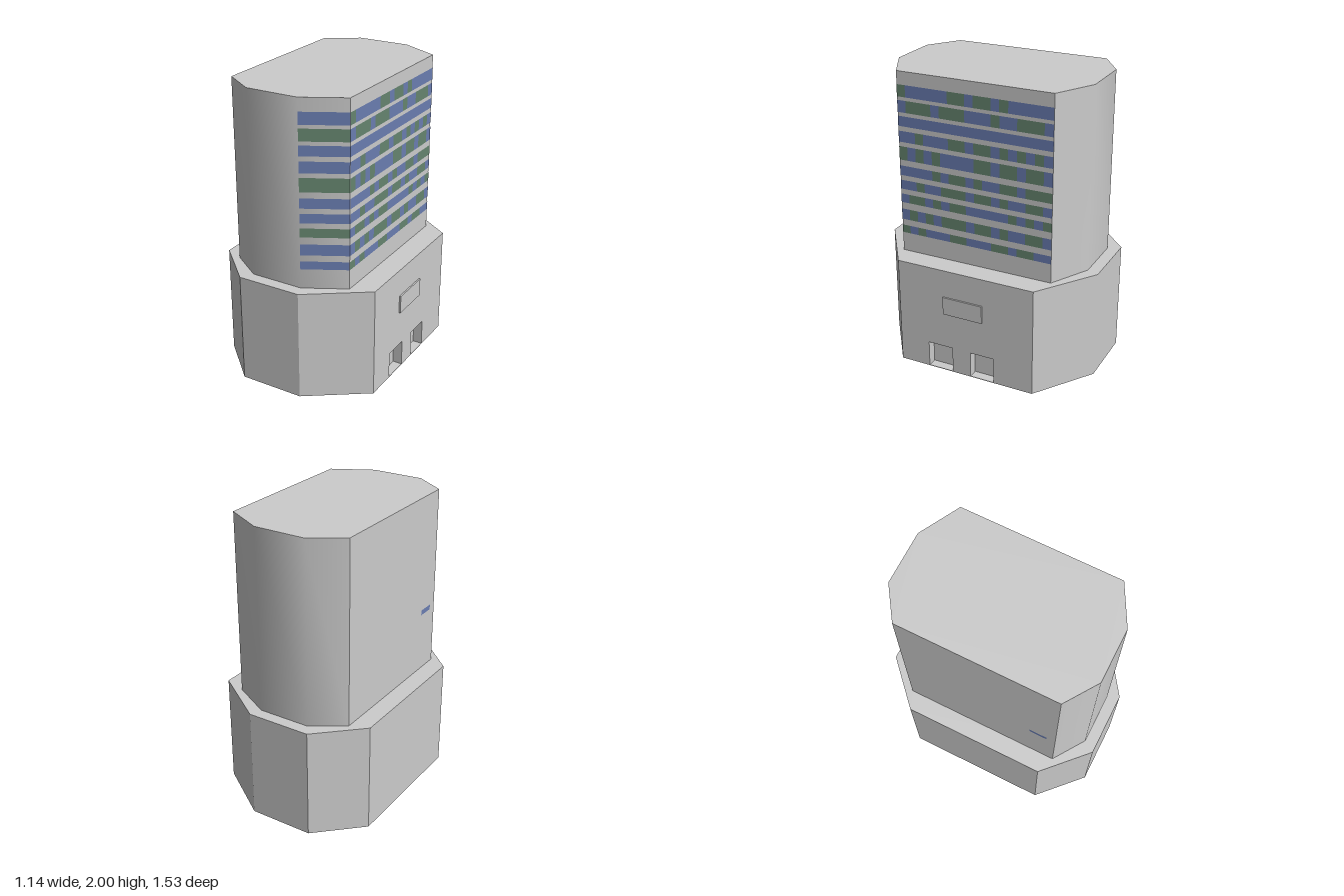
import * as THREE from 'three';
import { toCreasedNormals } from 'three/addons/utils/BufferGeometryUtils.js';

const mat = (color) => new THREE.MeshStandardMaterial({ color });
const grey = mat(0xcccccc);
const glass = { B: mat(0x6a7db1), G: mat(0x66856f) };

// Footprint corners as [x, z], counter-clockwise seen from above
const BASE = [[0.555, 0.49], [0.555, -0.49], [0.16, -0.765], [-0.28, -0.765],
  [-0.57, -0.49], [-0.57, 0.49], [-0.28, 0.765], [0.16, 0.765]];
const TOWER = [[0.4, 0.54], [0.4, -0.54], [0.13, -0.685], [-0.23, -0.685],
  [-0.445, -0.54], [-0.445, 0.54], [-0.23, 0.685], [0.13, 0.685]];

// Door recesses in the base, as [z near front, z near back]
const DOORS = [[0.275, 0.095], [-0.04, -0.21]];
const DOOR_H = 0.185, DOOR_DEPTH = 0.065, FLOOR = 0.004, BASE_H = 0.755;

// Window rows: bottom, top, colour on the chamfer, colours of 18 panes along the side
const ROWS = [
  [1.833, 1.913, 'B', 'GBBBBBGGBGGBGBBBBB'],
  [1.73, 1.81, 'G', 'BGGGBGGGBBBGBBGGGB'],
  [1.637, 1.705, 'B', 'BBBBBBBBBBBBBBBBBB'],
  [1.53, 1.605, 'B', 'BBGBBBGGBGGBGBGBGB'],
  [1.407, 1.5, 'G', 'GBGBGBBBBGGBGGBGGB'],
  [1.3, 1.367, 'B', 'BBBBGBGGBGBBGGBGGG'],
  [1.203, 1.266, 'B', 'BBGBBGGGBGGBGBBGGB'],
  [1.107, 1.168, 'G', 'BGGBGBGGBBBBBGBGBG'],
  [0.985, 1.06, 'B', 'BGBGBGGGBGGBGBBGGB'],
  [0.888, 0.943, 'B', 'GBGBBBGGBBBGGBGGBB'],
];

function prism(points, y0, y1) {
  const shape = new THREE.Shape(points.map(([x, z]) => new THREE.Vector2(x, -z)));
  const geo = new THREE.ExtrudeGeometry(shape, { depth: y1 - y0, bevelEnabled: false });
  return geo.rotateX(-Math.PI / 2).translate(0, y0, 0);
}

// Thin pane standing on the wall that runs from corner a to corner b, facing out
function pane(a, b, y0, y1, material, name) {
  const dx = b[0] - a[0], dz = b[1] - a[1], len = Math.hypot(dx, dz);
  const mesh = new THREE.Mesh(new THREE.PlaneGeometry(len, y1 - y0), material);
  const nx = -dz / len, nz = dx / len, gap = 0.002;
  mesh.position.set((a[0] + b[0]) / 2 + nx * gap, (y0 + y1) / 2, (a[1] + b[1]) / 2 + nz * gap);
  mesh.rotation.y = Math.atan2(nx, nz);
  mesh.name = name;
  return mesh;
}

export function createModel() {
  const model = new THREE.Group();
  model.name = 'building';
  const add = (geo, name, parent = model) => {
    const mesh = new THREE.Mesh(geo, grey);
    mesh.name = name;
    parent.add(mesh);
    return mesh;
  };

  // Base: floor slab, ground storey with door recesses, solid upper part
  const base = new THREE.Group();
  base.name = 'base';
  model.add(base);
  const notched = [BASE[0]];
  const face = BASE[0][0], inner = face - DOOR_DEPTH;
  for (const [z0, z1] of DOORS) notched.push([face, z0], [inner, z0], [inner, z1], [face, z1]);
  notched.push(...BASE.slice(1));
  add(prism(BASE, 0, FLOOR), 'floorSlab', base);
  add(prism(notched, FLOOR, DOOR_H), 'groundStorey', base);
  add(prism(BASE, DOOR_H, BASE_H), 'upperBase', base);

  // Blank sign panel above the doors
  const sign = add(new THREE.BoxGeometry(0.02, 0.125, 0.285), 'signPanel');
  sign.position.set(0.556, 0.5, 0.0125);

  // Tower: rounded shading on both ends, sharp at the flat sides
  add(toCreasedNormals(prism(TOWER, BASE_H, 2), 0.7), 'tower');

  // Window bands; equal neighbouring panes are joined into one strip
  const windows = new THREE.Group();
  windows.name = 'windows';
  model.add(windows);
  const [x, zFront] = TOWER[0];
  for (const [y0, y1, chamfer, panes] of ROWS) {
    windows.add(pane(TOWER[7], TOWER[0], y0, y1, glass[chamfer], 'cornerWindow'));
    const zAt = (i) => zFront - (2 * zFront * i) / panes.length;
    let i = 0;
    for (const run of panes.match(/B+|G+/g)) {
      windows.add(pane([x, zAt(i)], [x, zAt(i + run.length)], y0, y1, glass[run[0]], 'sideWindow'));
      i += run.length;
    }
  }
  // Single small window on the opposite side
  windows.add(pane([-0.445, 0.36], [-0.445, 0.48], 1.165, 1.2, glass.B, 'smallWindow'));

  return model;
}
